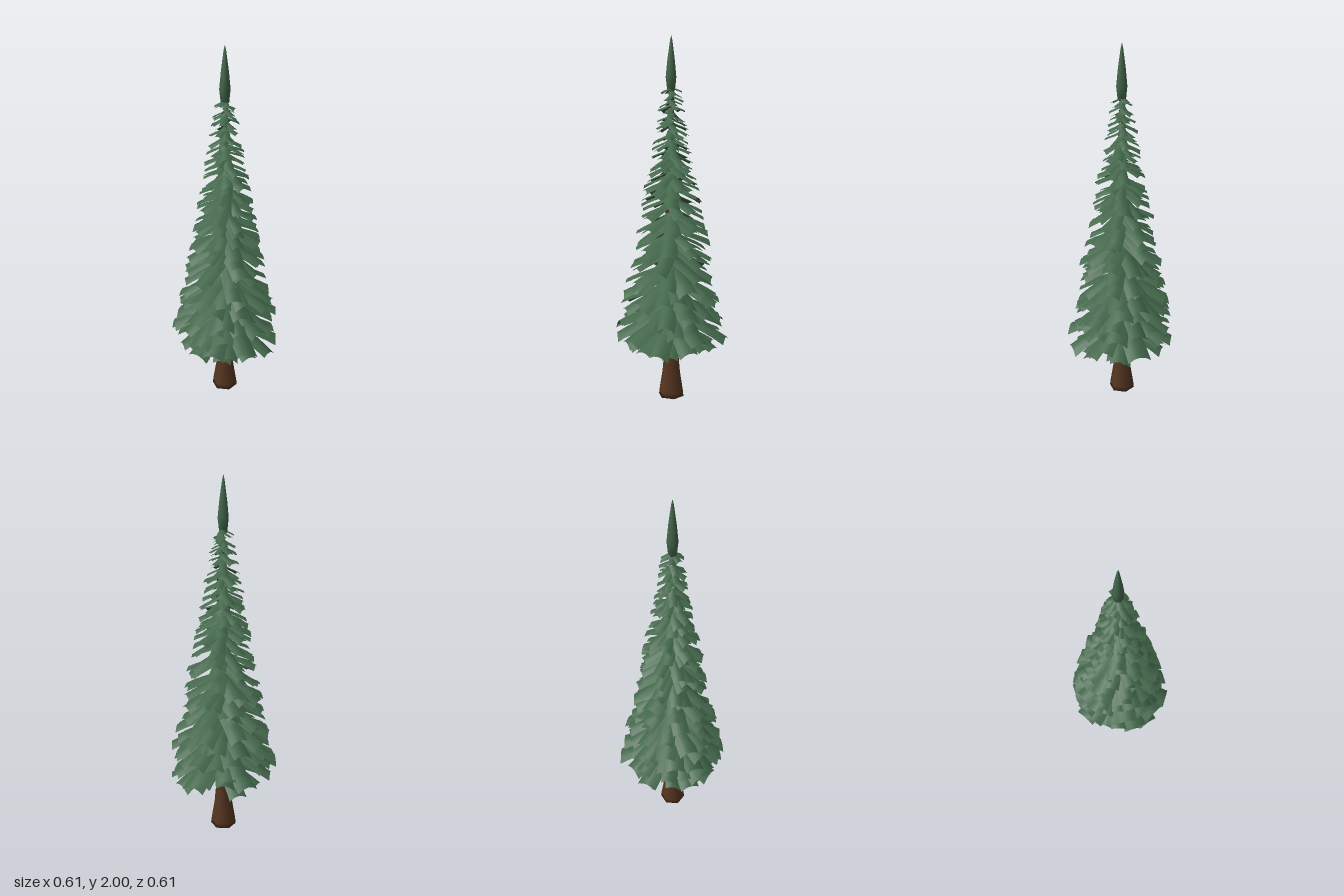
import * as THREE from 'three';
import { mergeGeometries } from 'three/addons/utils/BufferGeometryUtils.js';

const needleGreen = new THREE.MeshStandardMaterial({ color: 0x43674b, side: THREE.DoubleSide });
needleGreen.name = 'needleGreen';
const barkBrown = new THREE.MeshStandardMaterial({ color: 0x573621 });
barkBrown.name = 'barkBrown';

const AXIS_X = -0.01;

// Small seeded generator for natural variation
function seeded(seed) {
  return () => {
    seed = (seed * 1664525 + 1013904223) >>> 0;
    return seed / 4294967296;
  };
}

// Drooping strip running outward along +z, arched across its width
function makeBough(length, width, drop, roll) {
  const geo = new THREE.PlaneGeometry(1, 1, 4, 5).rotateX(-Math.PI / 2).translate(0, 0, 0.5);
  const p = geo.attributes.position;
  for (let i = 0; i < p.count; i++) {
    const t = p.getZ(i);
    const s = p.getX(i) * 2;
    const x = s * 0.5 * width * (0.9 + 0.1 * t);
    const arch = -0.2 * width * s * s;
    const y = -drop * (1.25 * t - 0.25 * t * t) - 0.04 * drop * Math.sin(t * Math.PI * 2);
    p.setXYZ(i, x, y + arch + x * roll * t, t * length);
  }
  geo.computeVertexNormals();
  return geo;
}

function lathe(profile, sides, material, name) {
  const geo = new THREE.LatheGeometry(profile.map(([r, y]) => new THREE.Vector2(r, y)), sides, Math.PI / 2);
  const mesh = new THREE.Mesh(geo, material);
  mesh.name = name;
  mesh.position.x = AXIS_X;
  return mesh;
}

export function createModel() {
  const tree = new THREE.Group();
  tree.name = 'coniferTree';

  // Flared trunk, tapering up inside the foliage
  tree.add(lathe([[0, 0], [0.073, 0], [0.07, 0.03], [0.052, 0.14], [0.042, 0.25],
    [0.036, 0.37], [0.026, 0.8], [0.012, 1.3], [0.004, 1.72]], 6, barkBrown, 'trunk'));

  // Pointed leader at the top
  tree.add(lathe([[0, 1.71], [0.022, 1.71], [0.03, 1.78], [0.021, 1.87], [0.007, 1.97], [0, 2]],
    7, needleGreen, 'treeTip'));

  // Whorls of boughs, shorter and narrower toward the top
  const rand = seeded(17);
  const boughs = [];
  const whorls = 30;
  for (let w = 0; w < whorls; w++) {
    const u = w / (whorls - 1);
    const count = Math.round(9 - 2 * u);
    const height = 0.46 + 1.26 * u;
    const skirt = w === 0 ? 0.8 : w === 1 ? 0.95 : 1;
    const reach = (0.06 + 0.275 * Math.pow(1 - u, 1.05)) * skirt;
    for (let i = 0; i < count; i++) {
      const length = reach * (0.86 + 0.14 * rand());
      const width = 0.016 + length * (0.28 + 0.1 * rand());
      const drop = length * (0.43 + 0.18 * rand()) * (w === 0 ? 1.15 : 1);
      const bough = makeBough(length, width, drop, (rand() - 0.5) * 0.5);
      bough.rotateY(((i + 0.5 * (rand() - 0.5)) / count) * Math.PI * 2 + w * 2.4);
      bough.translate(AXIS_X * (1 - 0.8 * Math.min(1, length / 0.3)), height + (rand() - 0.5) * 0.04, 0);
      boughs.push(bough);
    }
  }
  const foliage = new THREE.Mesh(mergeGeometries(boughs), needleGreen);
  foliage.name = 'boughs';
  tree.add(foliage);

  return tree;
}
